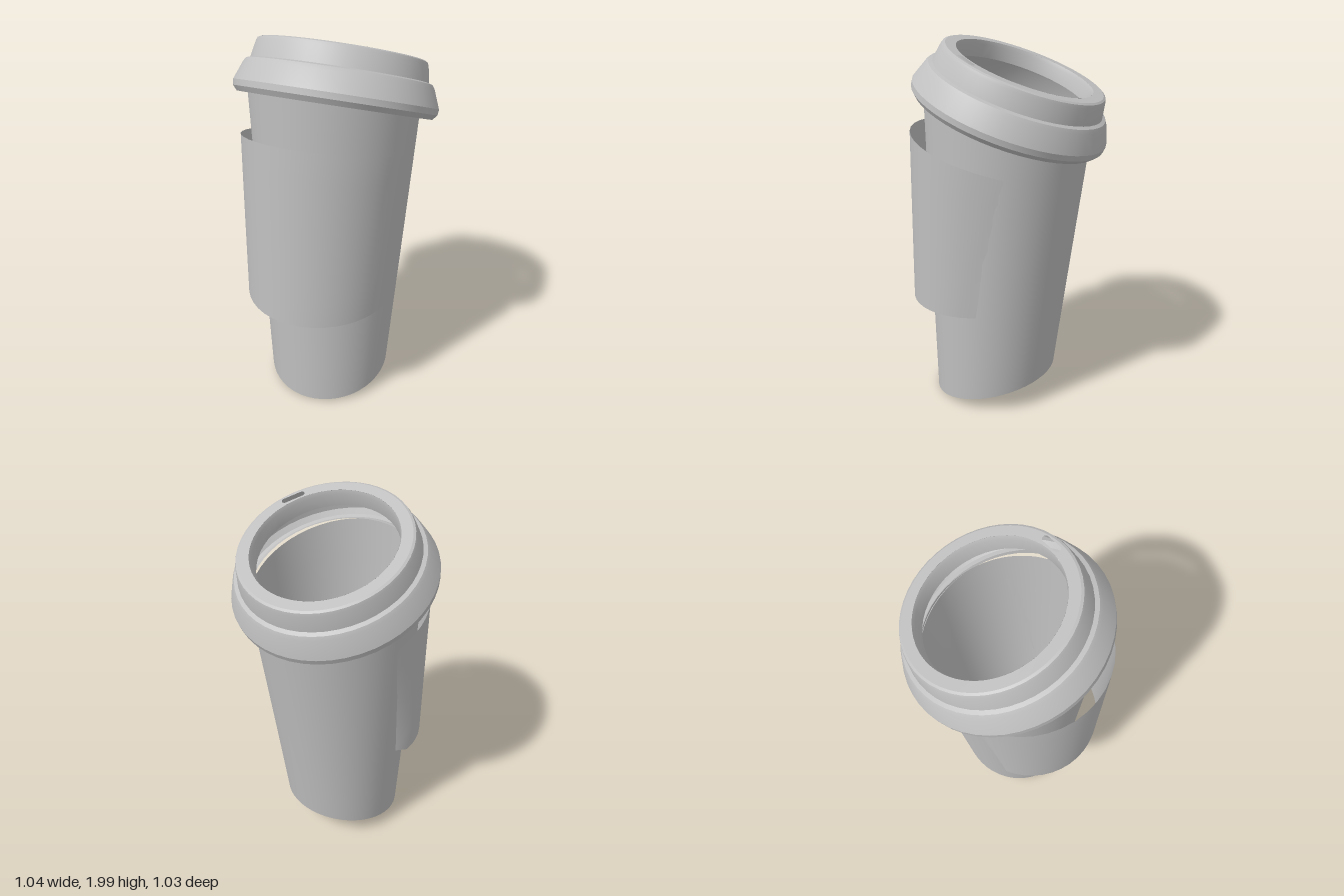
import * as THREE from 'three';
import { toCreasedNormals } from 'three/addons/utils/BufferGeometryUtils.js';

const gray = new THREE.MeshStandardMaterial({ color: 0xc0c0c0, side: THREE.DoubleSide });
gray.name = 'plain gray';

const LOW = 0.083, HIGH = 1.58; // centre heights of the cup's foot and mouth
const lerp = THREE.MathUtils.lerp;
const along = (h) => (h - LOW) / (HIGH - LOW);
const cupRadius = (h) => lerp(0.333, 0.437, along(h));

// The cup bends: its cross-sections tilt one way at the foot and the other way at the mouth.
function bend(radius, angle, h) {
  const t = along(h);
  const dx = radius * Math.cos(angle);
  const dz = radius * Math.sin(angle) * lerp(1.03, 0.965, t);
  const y = h + dx * lerp(0.2, -0.27, t) + dz * lerp(-0.13, 0.18, t);
  return [lerp(-0.055, 0, t) + dx, y, lerp(0.045, 0.005, t) + dz];
}

// Surface from rows of points; point(row, column) returns [x, y, z].
function grid(rows, cols, closed, point) {
  const positions = [], index = [];
  const width = closed ? cols : cols + 1;
  for (let i = 0; i <= rows; i++) {
    for (let j = 0; j < width; j++) positions.push(...point(i, j));
  }
  for (let i = 0; i < rows; i++) {
    for (let j = 0; j < cols; j++) {
      const k = (j + 1) % width;
      const a = i * width + j, b = i * width + k, c = a + width, d = b + width;
      index.push(a, c, b, b, c, d);
    }
  }
  const geometry = new THREE.BufferGeometry();
  geometry.setAttribute('position', new THREE.Float32BufferAttribute(positions, 3));
  geometry.setIndex(index);
  geometry.computeVertexNormals();
  return geometry;
}

function part(name, geometry, parent) {
  const mesh = new THREE.Mesh(geometry, gray);
  mesh.name = name;
  parent.add(mesh);
  return mesh;
}

// Full turn of a [radius, height] profile along the bent cup.
function turned(profile) {
  const sides = 48;
  return grid(profile.length - 1, sides, true, (i, j) =>
    bend(profile[i][0], (j / sides) * Math.PI * 2, profile[i][1]));
}

// Sleeve: a ring set off to one side, running from one touching line on the cup to the other.
function sleeveGeometry(bottom, top) {
  const rows = 6, cols = 26;
  return grid(rows, cols, false, (i, j) => {
    const t = i / rows, h = lerp(bottom, top, t);
    const start = lerp(56, 36, t), end = lerp(233, 247, t);
    const angle = THREE.MathUtils.degToRad(lerp(start, end, j / cols));
    const ox = lerp(-0.092, -0.058, t), oz = lerp(0.04, 0.04, t);
    const ring = lerp(0.395, 0.442, t);
    const offset = Math.hypot(ox, oz), turn = angle - Math.atan2(oz, ox);
    let r = offset * Math.cos(turn) + Math.sqrt(ring ** 2 - (offset * Math.sin(turn)) ** 2);
    r = Math.max(r, cupRadius(h) + 0.003);
    if (j === 0 || j === cols) r = cupRadius(h) - 0.002;
    return bend(r, angle, h);
  });
}

function lathe(points) {
  const profile = points.map(([r, y]) => new THREE.Vector2(r, y));
  return toCreasedNormals(new THREE.LatheGeometry(profile, 48), 0.45);
}

function createLid() {
  const lid = new THREE.Group();
  lid.name = 'lid';

  // Flange that grips the cup mouth
  part('lidFlange', lathe([
    [0.445, 0.03], [0.475, 0.012], [0.5, 0.01], [0.522, 0.035], [0.525, 0.065],
    [0.487, 0.16], [0.475, 0.178], [0.455, 0.185],
  ]), lid);

  // Raised wall and the inner lip of the opening
  part('lidWall', lathe([[0.455, 0.185], [0.438, 0.27], [0.432, 0.284], [0.42, 0.29]]), lid);
  part('lidInnerLip', lathe([[0.355, 0.2], [0.358, 0.27], [0.365, 0.29]]), lid);

  // Flat top ring with the big opening and the sip hole
  const ring = new THREE.Shape().absarc(0, 0, 0.42, 0, Math.PI * 2, false);
  ring.holes.push(new THREE.Path().absarc(0, 0, 0.365, 0, Math.PI * 2, true));
  const sip = new THREE.Path();
  const hx = 0.02, hy = -0.392, half = 0.045, r = 0.016;
  sip.absarc(hx - half, hy, r, Math.PI / 2, Math.PI * 1.5, false);
  sip.absarc(hx + half, hy, r, -Math.PI / 2, Math.PI / 2, false);
  ring.holes.push(sip);
  const top = new THREE.ShapeGeometry(ring, 48);
  top.rotateX(-Math.PI / 2);
  top.translate(0, 0.29, 0);
  part('lidTopRing', top, lid);

  lid.position.set(0, 1.58, 0.005);
  lid.quaternion.setFromUnitVectors(
    new THREE.Vector3(0, 1, 0), new THREE.Vector3(0.28, 0.94, -0.19).normalize());
  return lid;
}

export function createModel() {
  const model = new THREE.Group();
  model.name = 'travelCup';

  const wall = [];
  for (let i = 0; i <= 8; i++) {
    const h = lerp(LOW, 1.61, i / 8);
    wall.push([cupRadius(h), h]);
  }
  part('cupWall', turned(wall), model);

  // Foot rim and slightly recessed floor
  part('footRim', toCreasedNormals(turned([[0.316, 0.1], [0.318, LOW], [0.333, LOW]]), 0.5), model);
  part('cupFloor', turned([[0, 0.1], [0.33, 0.1]]), model);

  part('sleeve', sleeveGeometry(0.6, 1.405), model);
  model.add(createLid());
  return model;
}
